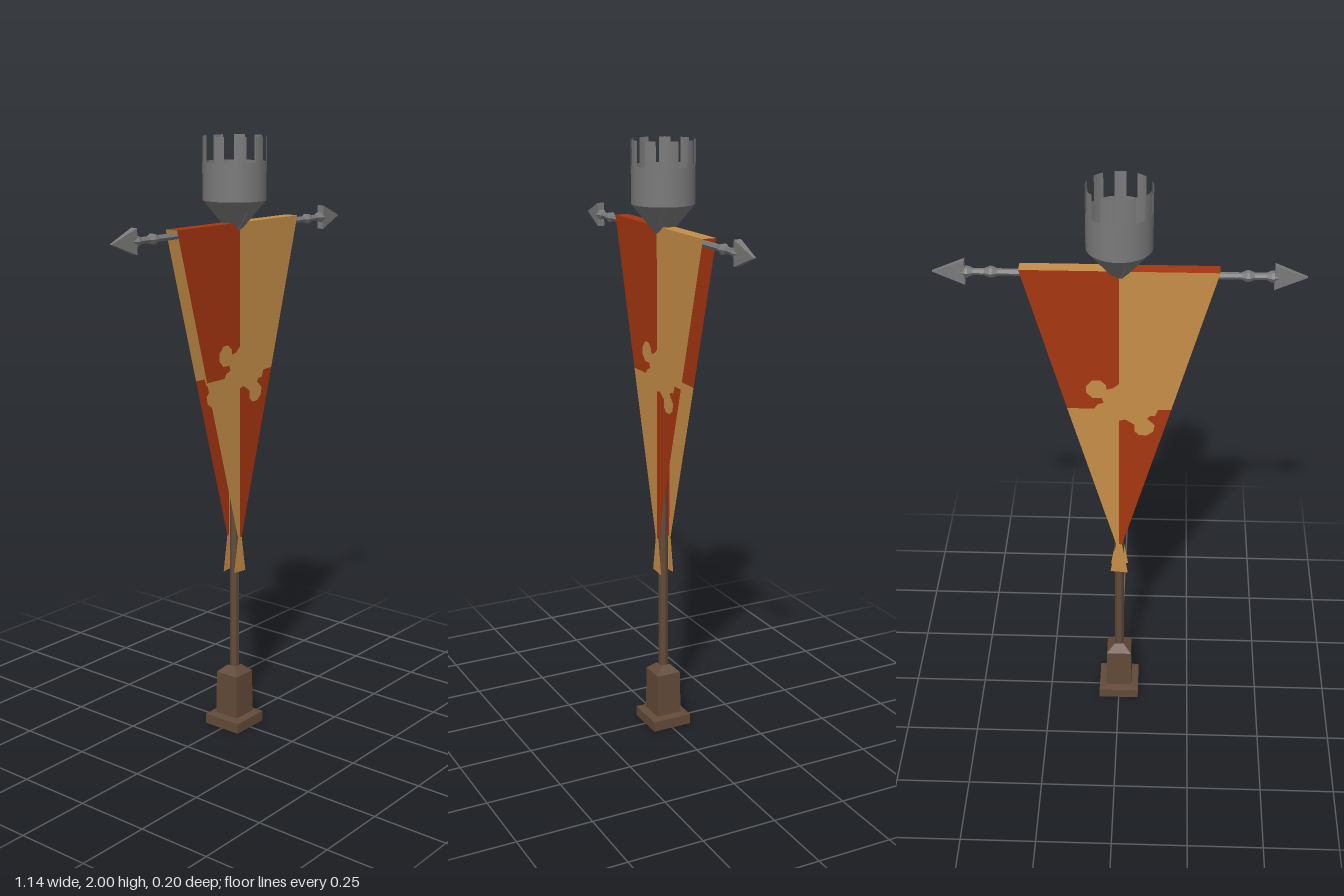
import * as THREE from 'three';

const mat = (name, color, side = THREE.FrontSide) => {
  const m = new THREE.MeshStandardMaterial({ color, side });
  m.name = name;
  return m;
};

// Facet a geometry so that every face is flat shaded
function flat(geometry) {
  const g = geometry.index ? geometry.toNonIndexed() : geometry;
  g.computeVertexNormals();
  return g;
}

export function createModel() {
  const red = mat('red cloth', 0xa63610, THREE.DoubleSide);
  const tan = mat('tan cloth', 0xc68e48, THREE.DoubleSide);
  const steel = mat('grey metal', 0x7a7a7a, THREE.DoubleSide);
  const wood = mat('brown wood', 0x624a38);

  const model = new THREE.Group();
  model.name = 'bannerStand';
  const add = (parent, name, geometry, material) => {
    const mesh = new THREE.Mesh(geometry, material);
    mesh.name = name;
    parent.add(mesh);
    return mesh;
  };

  // Square foot and socket with a sloped shoulder; hollow underneath
  const profile = [[0, 0.03], [0.042, 0.03], [0.055, 0], [0.07, 0], [0.07, 0.035],
    [0.045, 0.04], [0.043, 0.19], [0.016, 0.215]]
    .map(([r, y]) => new THREE.Vector2(r * Math.SQRT2, y));
  add(model, 'base', flat(new THREE.LatheGeometry(profile, 4, Math.PI / 4)), wood);

  // Six-sided pole
  const pole = add(model, 'pole', flat(new THREE.CylinderGeometry(0.016, 0.016, 1.5, 6)), wood);
  pole.position.y = 0.95;
  pole.rotation.y = Math.PI / 6;

  // Crossbar with beads and flat arrowheads
  const barY = 1.71;
  const bar = add(model, 'crossbar', flat(new THREE.CylinderGeometry(0.011, 0.011, 0.96, 6)), steel);
  bar.rotation.z = Math.PI / 2;
  bar.position.y = barY;
  for (const s of [1, -1]) {
    const end = new THREE.Group();
    end.name = s > 0 ? 'leftBarEnd' : 'rightBarEnd';
    end.position.y = barY;
    end.rotation.y = s > 0 ? 0 : Math.PI;
    for (const x of [0.39, 0.465]) {
      const rings = [[0.011, -0.02], [0.018, -0.004], [0.018, 0.004], [0.011, 0.02]]
        .map(([r, y]) => new THREE.Vector2(r, y));
      const bead = add(end, 'bead', flat(new THREE.LatheGeometry(rings, 6)), steel);
      bead.rotation.z = -Math.PI / 2;
      bead.position.x = x;
    }
    const head = new THREE.BoxGeometry(0.1, 0.08, 0.024);
    const p = head.attributes.position;
    for (let i = 0; i < p.count; i++) {
      if (p.getX(i) > 0) p.setXYZ(i, 0.05, p.getY(i) * 0.02, p.getZ(i) * 0.35);
    }
    add(end, 'arrowhead', flat(head), steel).position.x = 0.52;
    model.add(end);
  }

  // Banner sheet: quartered, with a curled boundary between the fields
  const leftCurl = [[-0.167, 1.235], [-0.08, 1.235], [-0.07, 1.25], [-0.05, 1.258],
    [-0.055, 1.275], [-0.085, 1.275], [-0.105, 1.295], [-0.105, 1.32], [-0.085, 1.342],
    [-0.06, 1.342], [-0.042, 1.325], [-0.04, 1.308], [-0.02, 1.313], [0, 1.33]];
  const rightCurl = [[0, 1.19], [0.02, 1.195], [0.035, 1.185], [0.05, 1.175], [0.05, 1.15],
    [0.065, 1.135], [0.09, 1.135], [0.11, 1.15], [0.115, 1.175], [0.1, 1.19], [0.09, 1.2],
    [0.1, 1.21], [0.115, 1.21], [0.125, 1.235], [0.167, 1.235]];
  const top = 1.73, halfWidth = 0.305, waistY = 0.68, waist = 0.01, depth = 0.023;
  const sheet = (points) =>
    new THREE.ShapeGeometry(new THREE.Shape(points.map(([x, y]) => new THREE.Vector2(x, y))));
  const fields = [
    ['upperRedField', red, [[0, top], [-halfWidth, top], ...leftCurl]],
    ['lowerRedField', red, [...rightCurl, [waist, waistY], [0, waistY]]],
    ['tanField', tan, [[0, top], ...[...leftCurl].reverse(), [-waist, waistY], [-0.03, 0.56],
      [0.03, 0.555], [waist, waistY], [0, waistY], ...rightCurl, [halfWidth, top]]],
  ];
  for (const s of [1, -1]) {
    const cloth = new THREE.Group();
    cloth.name = s > 0 ? 'frontBanner' : 'backBanner';
    cloth.rotation.y = s > 0 ? 0 : Math.PI;
    for (const [name, material, points] of fields) {
      add(cloth, name, sheet(points), material).position.z = depth;
    }
    model.add(cloth);

    // Fold of cloth over the crossbar
    const fold = add(model, 'bannerFold', new THREE.PlaneGeometry(halfWidth, depth * 2),
      s > 0 ? tan : red);
    fold.rotation.x = -Math.PI / 2;
    fold.position.set(s * halfWidth / 2, top, 0);
  }

  // Crown-shaped cup: five-sided funnel, round wall, notched rim
  const crown = new THREE.Group();
  crown.name = 'crown';
  const funnel = new THREE.CylinderGeometry(0.102, 0.02, 0.1, 20, 1, true);
  const fp = funnel.attributes.position;
  for (let i = 0; i < fp.count; i++) {
    if (fp.getY(i) > 0) continue;
    // Gather the lower ring onto a pentagon with a corner at -x
    const a = Math.atan2(fp.getZ(i), -fp.getX(i));
    const sector = Math.PI * 2 / 5;
    const local = a - (Math.floor(a / sector) + 0.5) * sector;
    const r = 0.02 * Math.cos(sector / 2) / Math.cos(local);
    fp.setX(i, -r * Math.cos(a));
    fp.setZ(i, r * Math.sin(a));
  }
  add(crown, 'funnel', flat(funnel), steel).position.y = 1.75;
  add(crown, 'cupWall', new THREE.CylinderGeometry(0.102, 0.102, 0.12, 36, 1, true), steel)
    .position.y = 1.86;
  const merlons = 9, step = Math.PI * 2 / merlons;
  for (let i = 0; i < merlons; i++) {
    const g = new THREE.CylinderGeometry(0.102, 0.102, 0.08, 2, 1, true,
      (i - 0.25) * step, step / 2);
    add(crown, 'merlon', g, steel).position.y = 1.96;
  }
  model.add(crown);

  return model;
}
